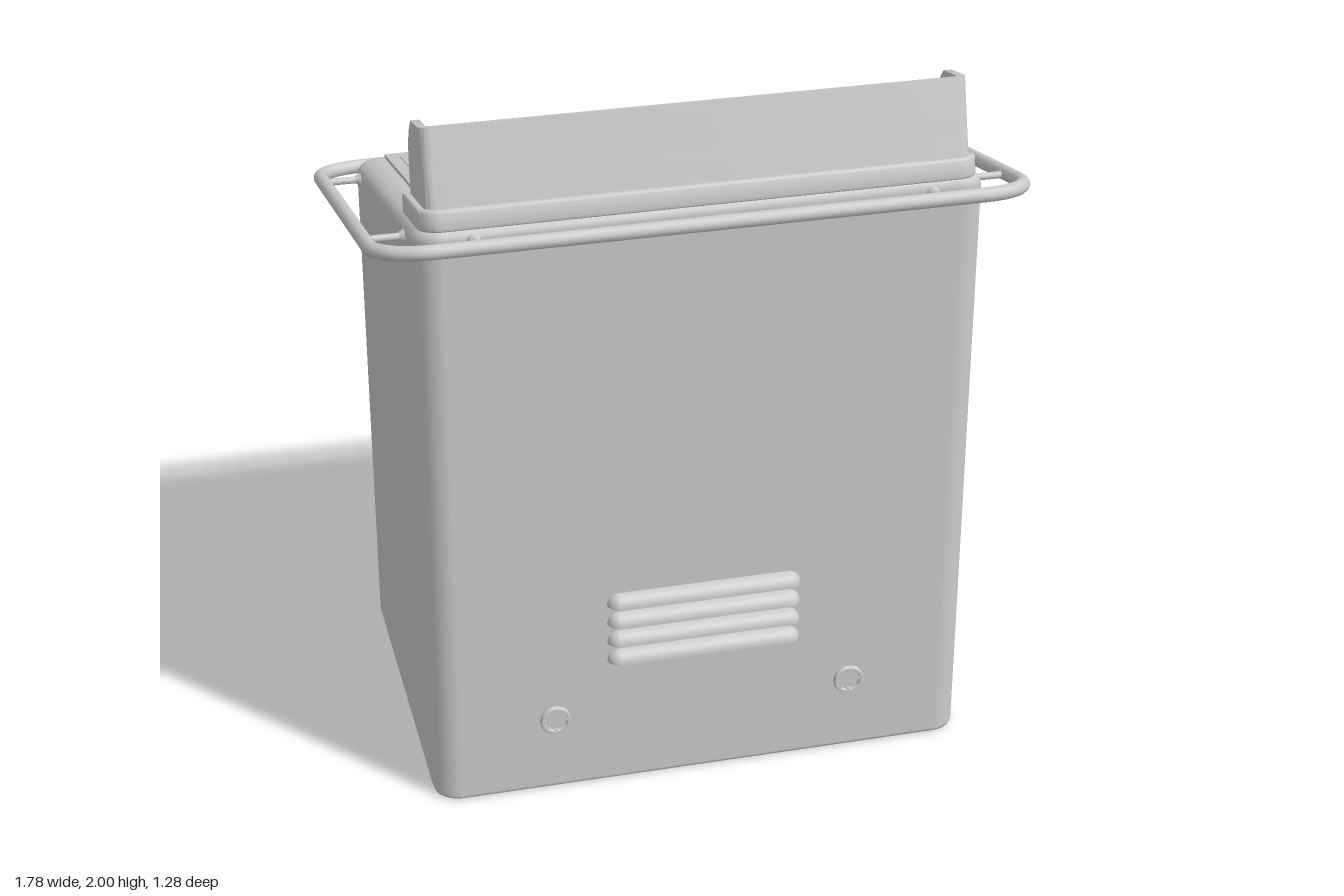
import * as THREE from 'three';
import { toCreasedNormals } from 'three/addons/utils/BufferGeometryUtils.js';

const SLOPE = 0.238, TILT = Math.atan(SLOPE), TOP = 1.628;
const mat = new THREE.MeshStandardMaterial({ color: 0xcccccc, side: THREE.DoubleSide });

function add(parent, name, geo, x = 0, y = 0, z = 0) {
  const m = new THREE.Mesh(geo, mat);
  m.name = name;
  m.position.set(x, y, z);
  parent.add(m);
  return m;
}

// Local z on the sloped deck for a plan position z at height h above the deck
const deckZ = (z, h) => (z + h * Math.sin(TILT)) / Math.cos(TILT);

function roundRect(w, d, r, Type = THREE.Shape) {
  const s = new Type(), a = w / 2, b = d / 2;
  s.absarc(a - r, b - r, r, 0, Math.PI / 2);
  s.absarc(-a + r, b - r, r, Math.PI / 2, Math.PI);
  s.absarc(-a + r, -b + r, r, Math.PI, Math.PI * 1.5);
  s.absarc(a - r, -b + r, r, Math.PI * 1.5, Math.PI * 2);
  s.closePath();
  return s;
}

// Upright slab of a plan shape from y = 0 to h, with a rounded edge inside the outline
function slab(shape, h, bevel = 0, steps = 1) {
  const g = new THREE.ExtrudeGeometry(shape, {
    depth: h - bevel, steps, curveSegments: 10, bevelEnabled: bevel > 0,
    bevelSize: bevel, bevelThickness: bevel, bevelOffset: -bevel, bevelSegments: 3,
  });
  g.rotateX(-Math.PI / 2);
  return toCreasedNormals(g, 0.6);
}

// U-shaped plan: closed at the front, open towards the back
function uShape(x, front, end, t, r) {
  const s = new THREE.Shape(), i = Math.max(r - t, 0.005);
  s.moveTo(x, -end);
  s.lineTo(x - t, -end);
  s.lineTo(x - t, -front + t + i);
  s.absarc(x - t - i, -front + t + i, i, 0, -Math.PI / 2, true);
  s.absarc(-x + t + i, -front + t + i, i, -Math.PI / 2, -Math.PI, true);
  s.lineTo(-x + t, -end);
  s.lineTo(-x, -end);
  s.lineTo(-x, -front + r);
  s.absarc(-x + r, -front + r, r, Math.PI, Math.PI * 1.5);
  s.absarc(x - r, -front + r, r, -Math.PI / 2, 0);
  s.closePath();
  return s;
}

// Hollow cabinet: rings of [inset, y, share of the slope], closed at the top, open below
function cabinet() {
  const rings = [
    [0.02, 0.3, 0], [0.02, 0.004, 0], [0.01, 0, 0], [0.003, 0.004, 0], [0, 0.014, 0],
    [0, TOP - 0.035, 1], [0.003, TOP - 0.02, 1], [0.012, TOP - 0.007, 1],
    [0.028, TOP + 0.002, 1], [0.045, TOP + 0.007, 1], [0.06, TOP + 0.009, 1],
  ];
  const pos = [], idx = [];
  let n = 0;
  rings.forEach(([inset, y, k]) => {
    const pts = [];
    for (let c = 0; c < 4; c++) for (let j = 0; j <= 8; j++) {
      const a = (c + j / 8) * Math.PI / 2, r = 0.075 - inset;
      const sx = c === 0 || c === 3 ? 1 : -1, sz = c < 2 ? 1 : -1;
      pts.push([sx * 0.69 + r * Math.cos(a), sz * 0.47 + r * Math.sin(a)]);
    }
    n = pts.length;
    pts.forEach(([x, z]) => pos.push(x, y + k * SLOPE * z, z));
  });
  for (let i = 0; i < rings.length - 1; i++) for (let j = 0; j < n; j++) {
    const a = i * n + j, b = i * n + (j + 1) % n;
    idx.push(a, a + n, b, b, a + n, b + n);
  }
  const c = rings.length * n, last = c - n;
  pos.push(0, TOP + 0.009, 0);
  for (let j = 0; j < n; j++) idx.push(last + j, c, last + (j + 1) % n);
  const g = new THREE.BufferGeometry();
  g.setAttribute('position', new THREE.Float32BufferAttribute(pos, 3));
  g.setIndex(idx);
  g.computeVertexNormals();
  return g;
}

// Hood wall with side wings whose free edge sweeps back towards the top
function hoodGeometry() {
  const edge = [[0, 0.289], [0.116, 0.3], [0.184, 0.316], [0.222, 0.345], [0.25, 0.378], [0.258, 0.392]];
  const g = slab(uShape(0.725, 0.536, 0.28, 0.022, 0.03), 0.258, 0, 16);
  const p = g.attributes.position;
  for (let i = 0; i < p.count; i++) {
    const h = p.getY(i), k = Math.max(1, edge.findIndex((e) => e[0] >= h - 1e-5));
    const [a, b] = [edge[k - 1], edge[k]];
    const limit = THREE.MathUtils.mapLinear(h, a[0], b[0], a[1], b[1]);
    p.setZ(i, Math.max(p.getZ(i) - (p.getZ(i) > 0.45 ? h * 0.045 : 0), limit));
  }
  return toCreasedNormals(g, 0.6);
}

function lathe(points) {
  return toCreasedNormals(new THREE.LatheGeometry(points.map(([x, y]) => new THREE.Vector2(x, y)), 32), 0.6);
}

export function createModel() {
  const model = new THREE.Group();
  model.name = 'controlConsole';
  add(model, 'cabinet', cabinet());

  const deck = new THREE.Group();
  deck.name = 'slopedDeck';
  deck.position.y = TOP;
  deck.rotation.x = -TILT;
  model.add(deck);
  const P = 0.02; // panel surface height

  // Control panel and hood
  add(deck, 'controlPanel', new THREE.BoxGeometry(1.37, 0.02, 0.99), 0, P - 0.01, 0.015);
  add(deck, 'hoodBase', slab(uShape(0.745, 0.553, 0.27, 0.05, 0.06), 0.05, 0.008));
  add(deck, 'hood', hoodGeometry());

  // Screen with raised frame
  const frame = roundRect(1.0, 0.735, 0.055);
  frame.holes.push(roundRect(0.925, 0.66, 0.035, THREE.Path));
  add(deck, 'screenFrame', slab(frame, 0.03, 0.007), 0.133, P - 0.007, deckZ(0.06, 0.04));
  add(deck, 'screen', slab(roundRect(0.95, 0.685, 0.04), 0.014), 0.133, P, deckZ(0.06, 0.04));

  // Oval keys behind the screen
  for (let i = 0; i < 4; i++) {
    const x = -0.22 + i * 0.235, z = deckZ(-0.37, 0.03);
    add(deck, 'keySurround', slab(roundRect(0.135, 0.07, 0.034), 0.012, 0.004), x, P - 0.002, z);
    add(deck, 'ovalKey', slab(roundRect(0.105, 0.048, 0.023), 0.024, 0.007), x, P, z);
  }

  // Dial, its backing plate and three push buttons
  add(deck, 'dialPlate', slab(roundRect(0.245, 0.2, 0.025), 0.003), -0.528, P, deckZ(-0.335, P));
  add(deck, 'dial', lathe([[0.075, 0], [0.075, 0.014], [0.07, 0.02], [0.062, 0.022], [0.06, 0.05],
    [0.054, 0.056], [0, 0.056]]), -0.53, P, deckZ(-0.2, 0.05));
  for (let i = 0; i < 3; i++) {
    add(deck, 'pushButton', lathe([[0.032, 0], [0.032, 0.009], [0.027, 0.012], [0.025, 0.02], [0.018, 0.025], [0, 0.026]]),
      -0.613 + i * 0.085, P, deckZ(-0.04, 0.035));
  }

  // Two banks of toggle switches
  for (const z of [0.11, 0.305]) {
    add(deck, 'switchPlate', new THREE.BoxGeometry(0.222, 0.006, 0.142), -0.525, P + 0.003, deckZ(z, P));
    for (let i = 0; i < 6; i++) {
      const x = -0.6 + i * 0.03;
      add(deck, 'switchCollar', new THREE.CylinderGeometry(0.009, 0.01, 0.008, 12), x, P + 0.009, deckZ(z - 0.02, P));
      const lever = add(deck, 'switchLever', new THREE.CapsuleGeometry(0.0055, 0.02, 3, 8), x, P + 0.017, deckZ(z - 0.032, P));
      lever.rotation.x = -0.8;
      add(deck, 'switchMark', new THREE.BoxGeometry(0.01, 0.003, 0.006), x, P + 0.007, deckZ(z + 0.045, P));
    }
  }

  // Guard rail around the cabinet
  const rail = new THREE.CurvePath();
  const RX = 0.87, RZ = 0.637, R = 0.14, RY = -0.036;
  const corners = [[1, 1], [-1, 1], [-1, -1], [1, -1]].map(([sx, sz], c) => {
    const pts = [];
    for (let j = 0; j <= 8; j++) {
      const a = (c + j / 8) * Math.PI / 2;
      pts.push(new THREE.Vector3(sx * (RX - R) + R * Math.cos(a), RY, sz * (RZ - R) + R * Math.sin(a)));
    }
    return pts;
  }).flat();
  corners.forEach((p, i) => rail.add(new THREE.LineCurve3(p, corners[(i + 1) % corners.length])));
  add(deck, 'guardRail', new THREE.TubeGeometry(rail, 240, 0.02, 14, true));

  // Rail brackets: thin posts with a small foot on the cabinet
  const bracket = (x, z, length, turn) => {
    const g = new THREE.Group();
    g.name = 'railBracket';
    g.position.set(x, RY, z);
    g.rotation.y = turn;
    add(g, 'post', new THREE.CylinderGeometry(0.01, 0.01, length, 12), 0, 0, length / 2).rotation.x = Math.PI / 2;
    add(g, 'foot', new THREE.CylinderGeometry(0.012, 0.019, 0.014, 16), 0, 0, 0.009).rotation.x = Math.PI / 2;
    deck.add(g);
  };
  for (const s of [-1, 1]) {
    for (const z of [-0.41, 0.4]) bracket(s * 0.763, deckZ(z, RY), 0.107, s * Math.PI / 2);
    for (const e of [-1, 1]) bracket(s * 0.61, deckZ(e * 0.545, RY), 0.085, e > 0 ? 0 : Math.PI);
  }

  // Louvred vent: hooded slats with rounded ends, open underneath
  for (let i = 0; i < 4; i++) {
    const g = new THREE.SphereGeometry(0.036, 24, 10, 0, Math.PI, 0, Math.PI / 2);
    const p = g.attributes.position;
    for (let v = 0; v < p.count; v++) {
      const x = p.getX(v);
      if (Math.abs(x) > 1e-4) p.setX(v, x + Math.sign(x) * 0.239);
    }
    g.computeVertexNormals();
    add(model, 'ventSlat', g, 0, 0.4 + i * 0.06, 0.543);
  }

  // Round fittings low on the front
  for (const x of [-0.425, 0.425]) {
    const ring = add(model, 'fittingRing', lathe([[0.043, 0], [0.043, 0.01], [0.04, 0.014], [0.034, 0.014], [0.032, 0.004], [0, 0.004]]), x, 0.23, 0.543);
    ring.rotation.x = Math.PI / 2;
    for (let i = 0; i < 8; i++) {
      const a = i * Math.PI / 4;
      add(ring, 'fittingNotch', new THREE.BoxGeometry(0.006, 0.008, 0.006), 0.031 * Math.cos(a), 0.008, 0.031 * Math.sin(a)).rotation.y = -a;
    }
  }
  return model;
}
